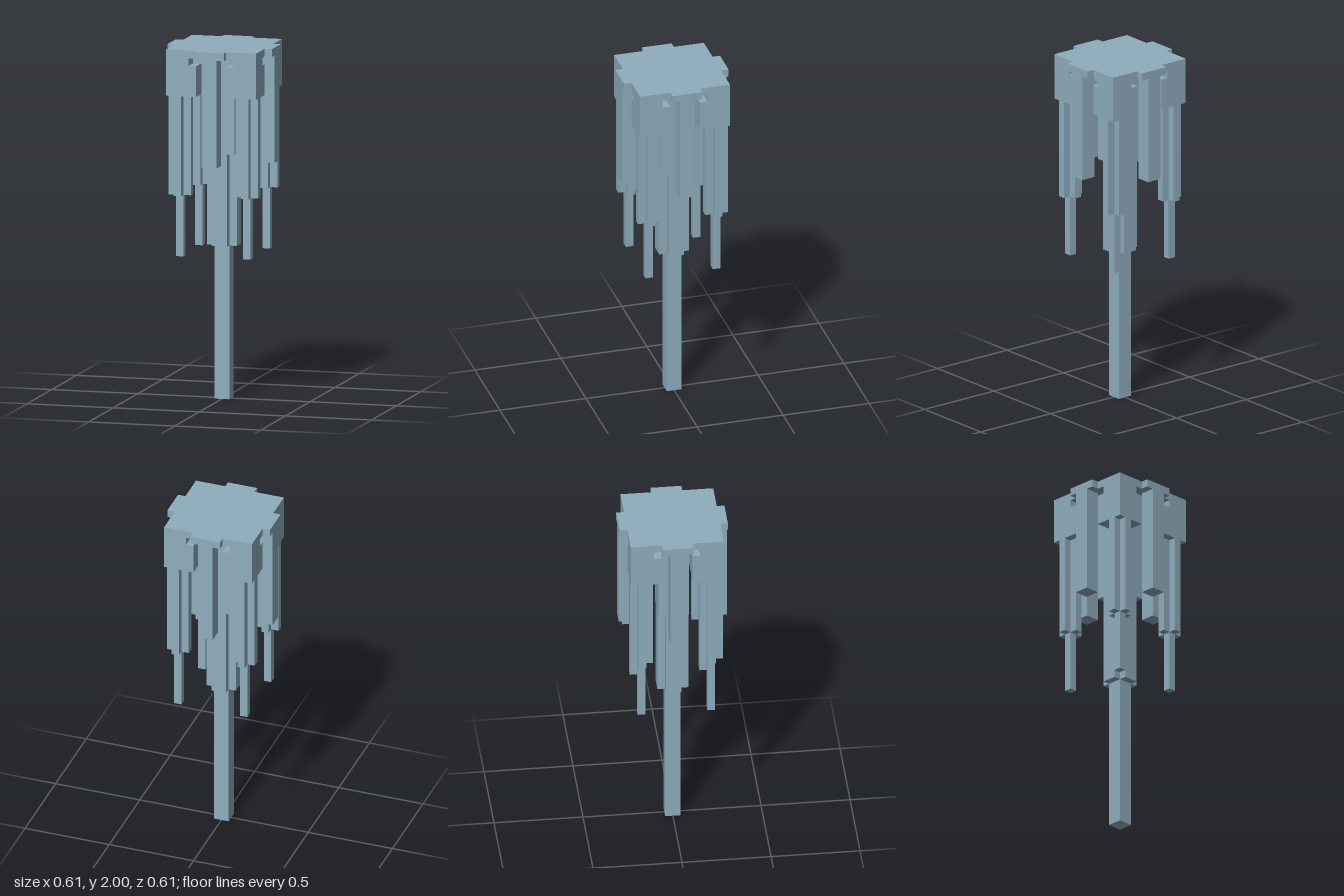
import * as THREE from 'three';

const U = 2 / 46; // one block of the grid the shape is built on

export function createModel() {
  const model = new THREE.Group();
  const stone = new THREE.MeshStandardMaterial({ color: 0x8faebe });
  stone.name = 'paleBlueStone';

  // Box given by its lower and upper limits in grid blocks
  function block(parent, name, x0, x1, y0, y1, z0, z1) {
    const geo = new THREE.BoxGeometry((x1 - x0) * U, (y1 - y0) * U, (z1 - z0) * U);
    const mesh = new THREE.Mesh(geo, stone);
    mesh.name = name;
    mesh.position.set((x0 + x1) * U / 2, (y0 + y1) * U / 2, (z0 + z1) * U / 2);
    parent.add(mesh);
  }

  // Square block centred on the axis
  const centred = (name, half, y0, y1) =>
    block(model, name, -half, half, y0, y1, -half, half);

  // Ceiling slab, and the stepped flare where the main spike meets it
  centred('ceilingSlab', 6, 45, 46);
  centred('upperFlare', 4, 44, 45);
  centred('lowerFlare', 3, 43, 44);

  // Main hanging spike: square root, cross-shaped shaft, thin tip
  centred('spikeRoot', 2, 32, 43);
  block(model, 'spikeShaftAcross', -2, 2, 20, 32, -1, 1);
  block(model, 'spikeShaftDeep', -1, 1, 20, 32, -2, 2);
  centred('spikeTip', 1, 0, 20);

  // One side spike and one corner spike per quarter turn
  for (let i = 0; i < 4; i++) {
    const quarter = new THREE.Group();
    quarter.name = 'quarter' + (i + 1);
    quarter.rotation.y = i * Math.PI / 2;
    model.add(quarter);

    block(quarter, 'sideLedge', -2, 2, 45, 46, 6, 7);
    block(quarter, 'sideSpike', -1, 1, 31, 45, 5, 7);

    block(quarter, 'cornerNeck', 3, 6, 44, 45, 3, 6);
    block(quarter, 'cornerBlock', 2, 6, 40, 44, 2, 6);
    block(quarter, 'cornerShaftAcross', 3, 6, 27, 40, 4, 5);
    block(quarter, 'cornerShaftDeep', 4, 5, 27, 40, 3, 6);
    block(quarter, 'cornerTip', 4, 5, 19, 27, 4, 5);
  }
  return model;
}
